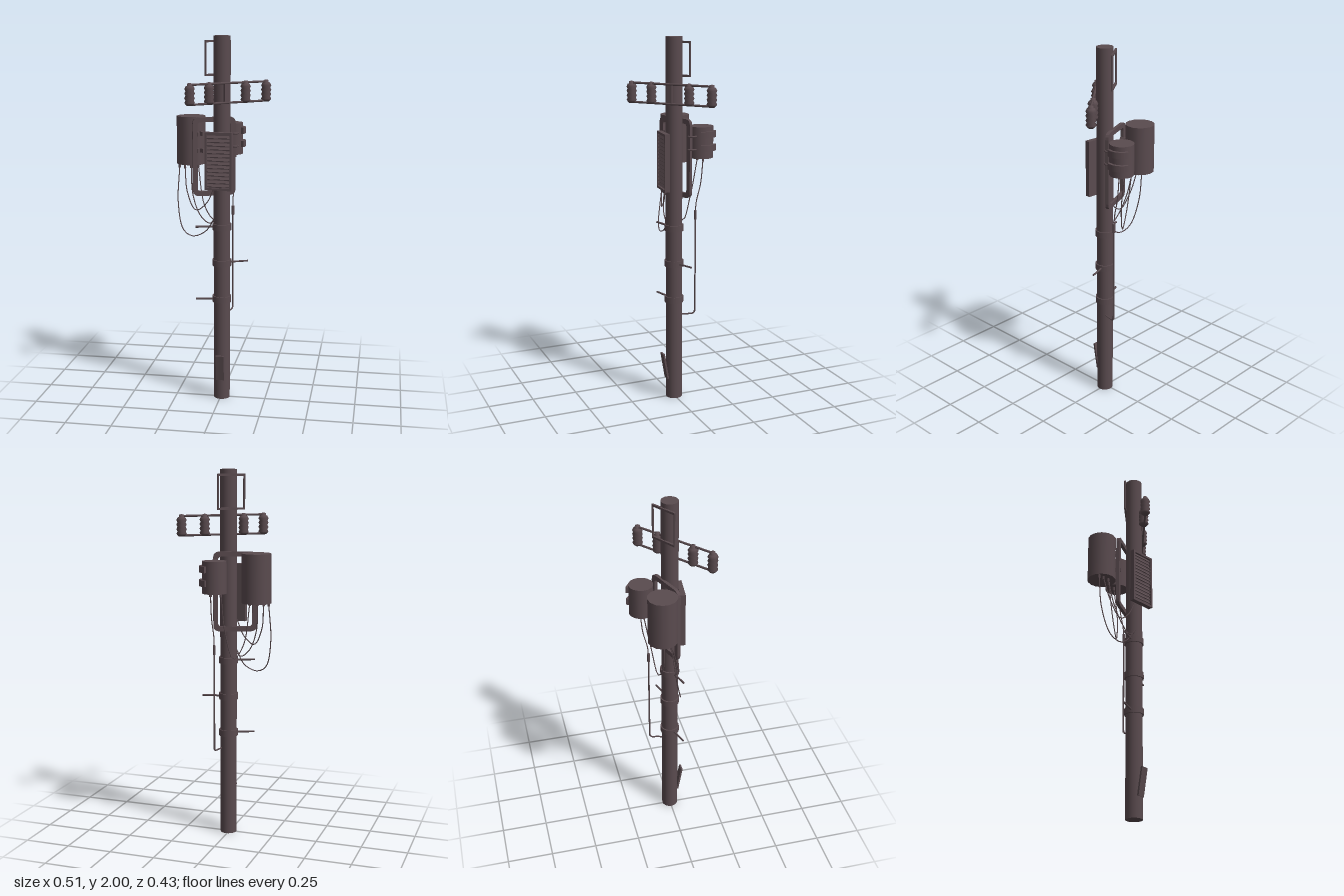
import * as THREE from 'three';

const V = (x, y, z) => new THREE.Vector3(x, y, z);
const weathered = new THREE.MeshStandardMaterial({ color: 0x5a4b4f });
weathered.name = 'weathered dark metal';

export function createModel() {
  const root = new THREE.Group();
  root.name = 'utilityPole';

  const add = (name, geo, x = 0, y = 0, z = 0, parent = root) => {
    const m = new THREE.Mesh(geo, weathered);
    m.name = name;
    m.position.set(x, y, z);
    parent.add(m);
    return m;
  };
  const cyl = (name, r, y0, y1, x, z, sides, parent) =>
    add(name, new THREE.CylinderGeometry(r, r, y1 - y0, sides), x, (y0 + y1) / 2, z, parent);
  const rod = (name, a, b, r, sides = 6) => {
    const m = cyl(name, r, 0, a.distanceTo(b), 0, 0, sides);
    m.position.copy(a).lerp(b, 0.5);
    m.quaternion.setFromUnitVectors(V(0, 1, 0), b.clone().sub(a).normalize());
    return m;
  };
  const cable = (name, pts, r = 0.003) =>
    add(name, new THREE.TubeGeometry(new THREE.CatmullRomCurve3(pts.map(p => V(...p))), 28, r, 5));
  // Horizontal beam between two plan points
  const beam = (name, a, b, h, d) => {
    const m = add(name, new THREE.BoxGeometry(a.distanceTo(b), h, d));
    m.position.copy(a).lerp(b, 0.5);
    m.rotation.y = Math.atan2(a.z - b.z, b.x - a.x);
    return m;
  };

  // Pole
  const px = 0.006;
  cyl('pole', 0.045, 0, 2, px, 0, 20);

  // Clamp bands with climbing pegs on alternating sides
  [[0.98, -1], [0.78, 1], [0.575, -1]].forEach(([y, side]) => {
    cyl('clampBand', 0.052, y - 0.017, y + 0.017, px, 0, 20);
    rod('climbingPeg', V(px + side * 0.03, y, -side * 0.01), V(px + side * 0.137, y + 0.003, -side * 0.044), 0.0055);
  });

  // Rectangular rung loop near the top
  const l0 = [-0.08, 0.003], l1 = [0.037, -0.078];
  [1.795, 1.97].forEach(y => beam('loopBar', V(l0[0], y, l0[1]), V(l1[0], y, l1[1]), 0.011, 0.011));
  [l0, l1].forEach(([x, z]) => rod('loopUpright', V(x, 1.79, z), V(x, 1.975, z), 0.0055));

  // Crossarm rails and ribbed insulators
  const insulatorProfile = [
    [0, 1.65], [0.015, 1.65], [0.022, 1.657], [0.028, 1.665], [0.022, 1.677], [0.028, 1.689],
    [0.022, 1.701], [0.028, 1.713], [0.022, 1.725], [0.028, 1.736], [0.021, 1.75],
    [0.013, 1.753], [0.013, 1.764], [0, 1.767],
  ].map(p => new THREE.Vector2(...p));
  [1.655, 1.757].forEach(y => rod('crossarmRail', V(-0.13, y, 0.186), V(0.227, y, -0.116), 0.006));
  [[-0.13, 0.186], [-0.043, 0.108], [0.128, -0.033], [0.227, -0.116]].forEach(([x, z]) =>
    add('insulator', new THREE.LatheGeometry(insulatorProfile, 9), x, 0, z));
  add('crossarmBracket', new THREE.BoxGeometry(0.03, 0.11, 0.012), 0.038, 1.706, 0.039).rotation.y = 0.702;

  // Rounded mounting frame behind the pole
  const rounded = (P, w, h, r) => {
    const s = new P();
    s.moveTo(-w + r, -h);
    s.lineTo(w - r, -h); s.quadraticCurveTo(w, -h, w, -h + r);
    s.lineTo(w, h - r); s.quadraticCurveTo(w, h, w - r, h);
    s.lineTo(-w + r, h); s.quadraticCurveTo(-w, h, -w, h - r);
    s.lineTo(-w, -h + r); s.quadraticCurveTo(-w, -h, -w + r, -h);
    return s;
  };
  const frameShape = rounded(THREE.Shape, 0.117, 0.213, 0.035);
  frameShape.holes.push(rounded(THREE.Path, 0.091, 0.187, 0.018));
  const frameGeo = new THREE.ExtrudeGeometry(frameShape, { depth: 0.018, bevelEnabled: false, curveSegments: 4 });
  frameGeo.translate(0, 0, -0.009);
  add('mountingFrame', frameGeo, -0.042, 1.358, -0.031).rotation.y = 0.36;

  // Large tank
  const tx = -0.177, tz = -0.082;
  cyl('largeTank', 0.078, 1.31, 1.57, tx, tz, 14);
  [1.39, 1.48].forEach(y => {
    beam('tankBracket', V(-0.15, y, -0.05), V(-0.118, y, 0.005), 0.022, 0.012);
    beam('tankBracket', V(-0.13, y, -0.05), V(-0.095, y, -0.012), 0.022, 0.012);
  });
  const stubs = [[-0.235, -0.05], [-0.205, -0.045], [-0.17, -0.04], [-0.135, -0.065]];
  stubs.forEach(([x, z]) => cyl('tankTerminal', 0.007, 1.29, 1.312, x, z, 6));

  // Small tank with two curved fins
  const sx = 0.034, sz = -0.146;
  cyl('smallTank', 0.065, 1.36, 1.53, sx, sz, 16);
  const arc = new THREE.Shape();
  arc.absarc(0, 0, 0.079, -0.45, 1.2, false);
  arc.absarc(0, 0, 0.06, 1.2, -0.45, true);
  [1.472, 1.4].forEach(y => {
    const g = new THREE.ExtrudeGeometry(arc, { depth: 0.034, bevelEnabled: false, curveSegments: 8 });
    g.rotateX(-Math.PI / 2);
    add('tankFin', g, sx, y, sz);
  });
  [1.41, 1.48].forEach(y => cable('smallTankBracket',
    [[0.076, y, -0.1], [0.081, y, -0.077], [0.068, y, -0.059], [0.05, y, -0.062]], 0.005));
  cyl('tankTerminal', 0.007, 1.34, 1.362, 0.055, -0.148, 6);
  cyl('tankTerminal', 0.007, 1.34, 1.362, 0.0, -0.14, 6);

  // Louvred cabinet on the front
  const cabinet = new THREE.Group();
  cabinet.name = 'louvredCabinet';
  cabinet.position.set(-0.002, 1.345, 0.058);
  cabinet.rotation.y = -0.1;
  root.add(cabinet);
  add('cabinetBack', new THREE.BoxGeometry(0.14, 0.3, 0.016), 0, 0, -0.005, cabinet);
  [-1, 1].forEach(s => {
    add('cabinetSide', new THREE.BoxGeometry(0.012, 0.31, 0.027), s * 0.068, 0, 0, cabinet);
    add('cabinetRim', new THREE.BoxGeometry(0.148, 0.012, 0.027), 0, s * 0.149, 0, cabinet);
  });
  for (let i = 0; i < 14; i++) {
    add('louvre', new THREE.BoxGeometry(0.126, 0.015, 0.004), 0, -0.13 + i * 0.02, 0.007, cabinet).rotation.x = -0.6;
  }

  // Hanging cables
  cable('hangingCable', [[-0.235, 1.3, -0.05], [-0.24, 1.1, -0.025], [-0.205, 0.955, 0.005],
    [-0.15, 0.925, 0.018], [-0.08, 0.955, 0.018], [-0.03, 1.03, 0.035]]);
  cable('hangingCable', [[-0.205, 1.3, -0.045], [-0.185, 1.16, -0.01], [-0.135, 1.07, 0.015],
    [-0.075, 1.11, 0.025], [-0.03, 1.2, 0.035]]);
  cable('hangingCable', [[-0.17, 1.3, -0.04], [-0.155, 1.15, -0.01], [-0.11, 1.04, 0.012],
    [-0.06, 1.0, 0.018], [-0.025, 1.02, 0.03]]);
  cable('linkingCable', [[0, 1.35, -0.14], [-0.01, 1.15, -0.105], [-0.05, 1.0, -0.078],
    [-0.1, 1.08, -0.06], [-0.135, 1.3, -0.065]]);

  // Ground lead running down the back into the pole
  cable('groundLead', [[0.055, 1.35, -0.148], [0.054, 1.22, -0.135], [0.05, 1.12, -0.112], [0.05, 1.06, -0.107]]);
  cyl('leadConnector', 0.008, 1.025, 1.075, 0.05, -0.107, 8);
  cyl('groundRod', 0.0045, 0.5, 1.03, 0.05, -0.107, 6);
  cable('groundRodFoot', [[0.05, 0.51, -0.107], [0.049, 0.492, -0.098], [0.043, 0.489, -0.065], [0.033, 0.489, -0.03]], 0.0045);

  // Tilted plate near the foot
  add('footPlate', new THREE.BoxGeometry(0.044, 0.15, 0.01), 0.004, 0.187, 0.055).rotation.x = 0.17;

  return root;
}
